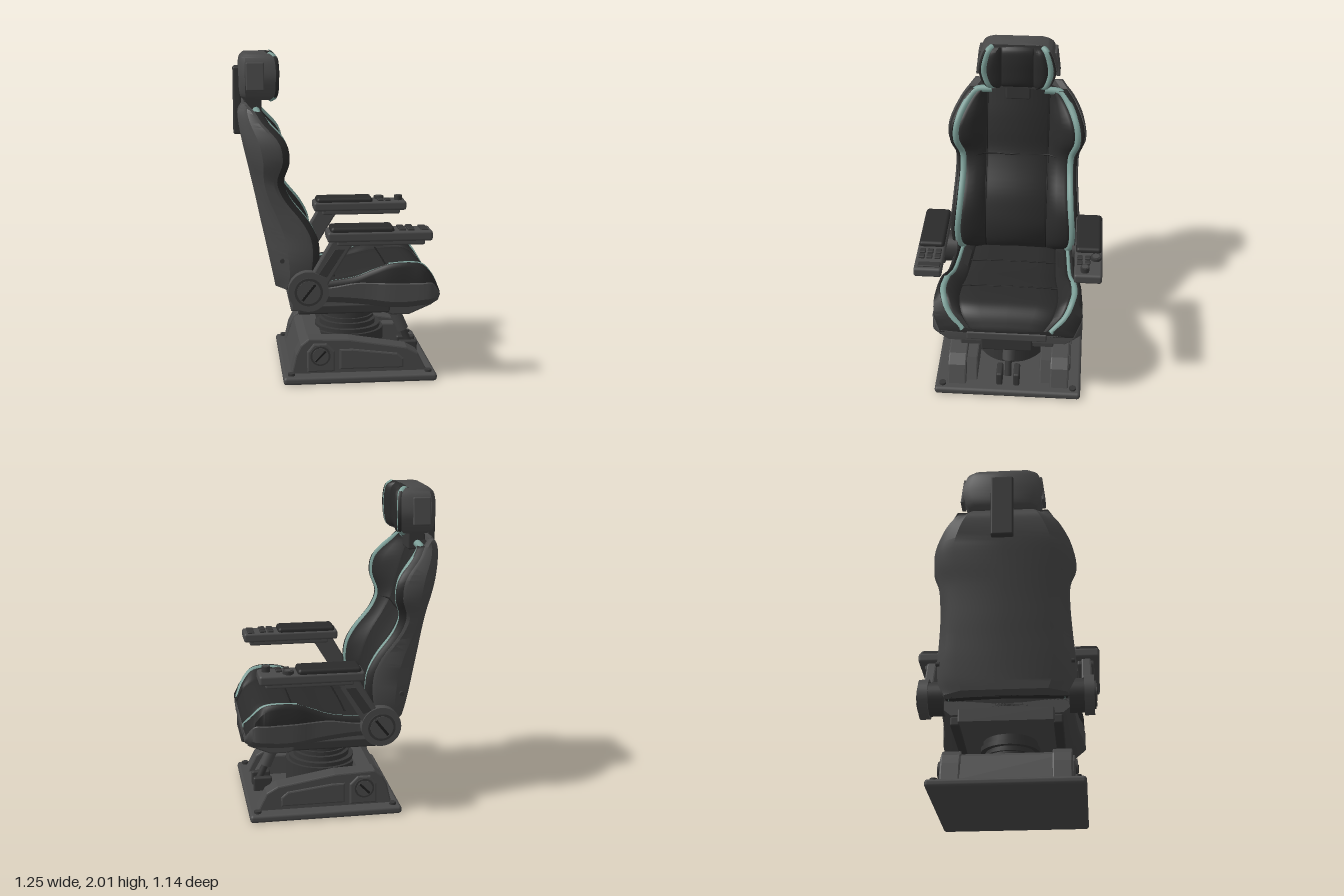
import * as THREE from 'three';
import { toCreasedNormals } from 'three/addons/utils/BufferGeometryUtils.js';
import { RoundedBoxGeometry } from 'three/addons/geometries/RoundedBoxGeometry.js';

const paint = (name, color) => Object.assign(new THREE.MeshStandardMaterial({ color }), { name });
const V = (x, y, z) => new THREE.Vector3(x, y, z);

export function createModel() {
  const group = new THREE.Group();
  const shell = paint('grey shell', 0x494949);
  const fabric = paint('dark upholstery', 0x2a2a2a);
  const metal = paint('dark metal', 0x363636);
  const seam = paint('seam black', 0x1d1d1d);
  const trim = paint('teal trim', 0x7c9f98);

  const add = (name, geo, mat, x = 0, y = 0, z = 0) => {
    const m = new THREE.Mesh(geo, mat);
    m.name = name;
    m.position.set(x, y, z);
    group.add(m);
    return m;
  };
  const box = (name, mat, [x0, x1], [y0, y1], [z0, z1], r = 0.012) =>
    add(name, new RoundedBoxGeometry(x1 - x0, y1 - y0, z1 - z0, 2, r), mat, (x0 + x1) / 2, (y0 + y1) / 2, (z0 + z1) / 2);
  const disc = (name, mat, r, h, x, y, z, axis = 'y', sides = 32) => {
    const m = add(name, new THREE.CylinderGeometry(r, r, h, sides), mat, x, y, z);
    if (axis === 'z') m.rotation.x = Math.PI / 2;
    return m;
  };
  // Side profile in x and y, extruded from z0 to z1
  const slab = (name, mat, pts, z0, z1, b = 0.01) => {
    const s = new THREE.Shape(pts.map(p => new THREE.Vector2(...p)));
    const g = new THREE.ExtrudeGeometry(s, {
      depth: z1 - z0 - 2 * b, bevelEnabled: b > 0, bevelSize: b, bevelThickness: b, bevelOffset: -b, bevelSegments: 2,
    });
    return add(name, g, mat, 0, 0, z0 + b);
  };
  const tube = (name, mat, pts, r) =>
    add(name, new THREE.TubeGeometry(new THREE.CatmullRomCurve3(pts), 60, r, 10), mat);
  const mirrorZ = p => V(p.x, p.y, -p.z);
  const both = f => [1, -1].forEach(f);
  const span = (s, a, b) => (s > 0 ? [a, b] : [-b, -a]);

  // Skin over symmetric half sections, smooth along the rows and capped
  const loft = (name, mat, halves, crease = 0.7) => {
    const loops = halves.map(h => [...h, ...h.slice(1, -1).reverse().map(mirrorZ)]);
    const n = loops[0].length, steps = (loops.length - 1) * 4;
    const cols = loops[0].map((_, j) => new THREE.CatmullRomCurve3(loops.map(l => l[j])).getPoints(steps));
    const pos = [], idx = [];
    for (let i = 0; i <= steps; i++) cols.forEach(c => pos.push(...c[i].toArray()));
    for (let i = 0; i < steps; i++) for (let j = 0; j < n; j++) {
      const a = i * n + j, b = i * n + (j + 1) % n;
      idx.push(a, b, a + n, b, b + n, a + n);
    }
    [0, steps].forEach(i => {
      const c = cols.reduce((s, k) => s.add(k[i]), V(0, 0, 0)).divideScalar(n);
      const at = pos.push(...c.toArray()) / 3 - 1;
      for (let j = 0; j < n; j++) {
        const a = i * n + j, b = i * n + (j + 1) % n;
        idx.push(...(i ? [a, b, at] : [b, a, at]));
      }
    });
    // Turn the faces outward if the enclosed volume is negative
    const P = i => V(pos[3 * i], pos[3 * i + 1], pos[3 * i + 2]);
    let vol = 0;
    for (let i = 0; i < idx.length; i += 3) vol += P(idx[i]).dot(P(idx[i + 1]).cross(P(idx[i + 2])));
    if (vol < 0) idx.reverse();
    const g = new THREE.BufferGeometry();
    g.setAttribute('position', new THREE.Float32BufferAttribute(pos, 3));
    g.setIndex(idx);
    return add(name, toCreasedNormals(g, crease), mat);
  };

  // Base plate with corner bolts and side housings
  box('basePlate', shell, [-0.35, 0.6], [0, 0.05], [-0.47, 0.47], 0.02);
  [-0.3, 0.55].forEach(x => both(s => disc('plateBolt', metal, 0.022, 0.02, x, 0.055, s * 0.42, 'y', 12)));
  const housing = [[-0.3, 0.04], [-0.27, 0.17], [-0.24, 0.23], [-0.19, 0.27], [0.06, 0.26], [0.42, 0.2], [0.49, 0.16], [0.55, 0.04]];
  both(s => {
    slab('baseHousing', shell, housing, ...span(s, 0.27, 0.39));
    slab('housingFoot', shell, [[-0.27, 0.04], [-0.25, 0.18], [0.43, 0.18], [0.51, 0.04]], ...span(s, 0.2, 0.3));
    slab('hingePlate', shell, [[-0.2, 0.06], [-0.2, 0.19], [-0.16, 0.24], [-0.08, 0.24], [-0.03, 0.19], [-0.03, 0.06]], ...span(s, 0.38, 0.405));
    slab('sidePanel', shell, [[0, 0.07], [0, 0.2], [0.08, 0.2], [0.36, 0.165], [0.4, 0.13], [0.4, 0.07]], ...span(s, 0.38, 0.4));
    disc('hingeCap', metal, 0.062, 0.02, -0.12, 0.165, s * 0.405, 'z');
    disc('hingeFace', shell, 0.05, 0.02, -0.12, 0.165, s * 0.409, 'z');
    box('hingeSlot', seam, [-0.165, -0.075], [0.158, 0.172], span(s, 0.417, 0.422), 0.002).rotation.z = 0.8;
  });
  slab('rearHousing', shell, [[-0.3, 0.04], [-0.24, 0.22], [-0.19, 0.25], [-0.1, 0.25], [-0.08, 0.04]], -0.36, 0.36);

  // Bellows and damper under the seat
  [[0.23, 0.05, 0.24], [0.21, 0.24, 0.265], [0.18, 0.265, 0.295], [0.155, 0.295, 0.31], [0.17, 0.31, 0.325],
    [0.155, 0.325, 0.345], [0.185, 0.345, 0.375], [0.17, 0.375, 0.42]].forEach(([r, a, b]) =>
    disc('bellowsRing', metal, r, b - a, 0.09, (a + b) / 2, 0));
  const strut = (name, mat, r, a, b) => {
    const m = add(name, new THREE.CylinderGeometry(r, r, a.distanceTo(b), 20), mat);
    m.position.lerpVectors(a, b, 0.5);
    m.quaternion.setFromUnitVectors(V(0, 1, 0), b.clone().sub(a).normalize());
  };
  strut('damperRod', metal, 0.022, V(0.5, 0.1, 0), V(0.36, 0.42, 0));
  strut('damperBody', shell, 0.038, V(0.455, 0.2, 0), V(0.385, 0.36, 0));
  both(s => box('damperFoot', metal, [0.42, 0.54], [0.04, 0.14], span(s, 0.035, 0.075)));

  // Seat pan
  slab('seatPan', shell, [[-0.29, 0.5], [-0.29, 0.42], [0.25, 0.41], [0.34, 0.38], [0.45, 0.38], [0.59, 0.44], [0.6, 0.5]], -0.29, 0.29);
  both(s => box('sideRail', metal, [-0.25, 0.32], [0.41, 0.47], span(s, 0.28, 0.34)));
  box('frontBezel', metal, [0.54, 0.62], [0.42, 0.52], [-0.16, 0.16]);
  box('bezelLip', shell, [0.56, 0.622], [0.5, 0.56], [-0.25, 0.25]);

  // Seat rows: x, bottom, side height, centre height, half width, trim inset
  const seat = [
    [-0.22, 0.49, 0.62, 0.6, 0.4, 0], [-0.05, 0.49, 0.635, 0.62, 0.41, 0], [0.1, 0.48, 0.66, 0.64, 0.42, 0],
    [0.2, 0.47, 0.7, 0.66, 0.43, 0], [0.3, 0.46, 0.74, 0.675, 0.45, 0], [0.42, 0.46, 0.75, 0.685, 0.46, 0],
    [0.5, 0.47, 0.735, 0.68, 0.465, 0.02], [0.56, 0.475, 0.675, 0.645, 0.46, 0.05], [0.615, 0.49, 0.59, 0.57, 0.42, 0.1]];
  const rim = s => Math.min(s - 0.03, 0.63);
  loft('seatShell', shell, seat.map(([x, b, s, c, w]) => [
    V(x, c - 0.04, 0), V(x, c - 0.04, 0.6 * w), V(x, rim(s) - 0.01, w - 0.05), V(x, rim(s), w - 0.012),
    V(x, rim(s) - 0.012, w), V(x, b + 0.05, w), V(x, b, w - 0.06), V(x, b, 0)]));
  // Cushion with a groove for the trim inside its outer lip
  loft('seatCushion', fabric, seat.map(([x, b, s, c, w, e]) => {
    const v = w - e;
    return [
      V(x, c + 0.008, 0), V(x, c + 0.004, 0.4 * v), V(x, c - 0.002, 0.64 * v), V(x, c - 0.012, 0.67 * v),
      V(x, c + 0.006, 0.7 * v), V(x, s - 0.012, v - 0.085), V(x, s - 0.01, v - 0.072), V(x, s - 0.035, v - 0.05),
      V(x, s, v - 0.028), V(x, s - 0.006, v - 0.016), V(x, s - 0.03, w - 0.006), V(x, rim(s) - 0.03, w - 0.006),
      V(x, c - 0.06, 0.55 * w), V(x, c - 0.06, 0)];
  }), 1);
  both(k => {
    const run = (rows, drop) => rows.map(([x, , s, , w, e]) => V(x - e / 8, s - drop, k * (w - e - 0.05)));
    tube('seatRearTrim', trim, run(seat.slice(0, 5), 0.017), 0.012);
    tube('seatFrontTrim', trim, run(seat.slice(4), 0.019), 0.021);
  });
  [[-0.02, 0.632, 0.28], [0.31, 0.683, 0.3]].forEach(([x, y, z]) =>
    tube('seatSeam', seam, [V(x, y - 0.003, z), V(x, y, 0), V(x, y - 0.003, -z)], 0.005));

  // Backrest rows: y, rear x, wing x, half width, centre x
  const back = [
    [0.58, -0.385, -0.22, 0.38, -0.24], [0.66, -0.4, -0.15, 0.42, -0.2], [0.78, -0.425, -0.125, 0.43, -0.19],
    [0.9, -0.45, -0.135, 0.42, -0.22], [1, -0.472, -0.185, 0.41, -0.26], [1.15, -0.503, -0.3, 0.4, -0.35],
    [1.25, -0.525, -0.335, 0.405, -0.4], [1.37, -0.552, -0.303, 0.442, -0.43], [1.48, -0.577, -0.32, 0.435, -0.46],
    [1.6, -0.598, -0.42, 0.37, -0.5], [1.66, -0.598, -0.46, 0.32, -0.52], [1.7, -0.575, -0.5, 0.28, -0.53]];
  loft('backShell', shell, back.map(([y, r, f, w, c]) => [
    V(r, y, 0), V(r, y, 0.68 * w), V(r + 0.035, y, 0.84 * w), V(r + 0.38 * (f - r), y, 0.97 * w),
    V(f - 0.06, y, w), V(f - 0.04, y, w - 0.006), V(f - 0.045, y, w - 0.05), V(c - 0.04, y, 0.2), V(c - 0.04, y, 0)]), 0.5);
  const padded = back.slice(0, -1);
  loft('backCushion', fabric, padded.map(([y, , f, w, c]) => [
    V(c, y, 0), V(c - 0.002, y, 0.185), V(c - 0.015, y, 0.2), V(c + 0.006, y, 0.212),
    V(c + 0.65 * (f - c), y, 0.2 + 0.5 * (w - 0.28)), V(f - 0.01, y, w - 0.092), V(f - 0.012, y, w - 0.074),
    V(f - 0.035, y, w - 0.05), V(f + 0.002, y, w - 0.028), V(f - 0.006, y, w - 0.014), V(f - 0.055, y, w - 0.008),
    V(c - 0.05, y, 0.19), V(c - 0.05, y, 0)]), 1);
  both(k => {
    const run = padded.map(([y, , f, w]) => V(f - 0.023, Math.min(y, 1.645), k * (w - 0.051)));
    tube('backTrim', trim, [...run, V(-0.488, 1.655, k * 0.17)], 0.024);
    tube('backSeam', seam, padded.map(([y, , , , c]) => V(c - 0.013, y, k * 0.2)), 0.005);
    disc('shellBolt', metal, 0.014, 0.02, -0.35, 0.77, k * 0.408, 'z', 12);
  });
  tube('lumbarSeam', seam, [0.265, 0.2, 0, -0.2, -0.265].map(z =>
    V(Math.abs(z) > 0.2 ? -0.357 : -0.39, z ? 1.23 : 1.225, z)), 0.005);

  // Headrest on its neck and rear bracket; rows: y, half width, inset
  box('neck', metal, [-0.56, -0.45], [1.6, 1.76], [-0.08, 0.08]);
  box('rearBracket', metal, [-0.625, -0.575], [1.5, 1.915], [-0.07, 0.07]);
  const head = [[1.72, 0.185, 0.03], [1.745, 0.215, 0.008], [1.84, 0.25, 0], [1.92, 0.238, 0], [1.975, 0.215, 0.01], [2, 0.185, 0.035]];
  loft('headrestShell', shell, head.map(([y, w, i]) => [
    V(-0.59 + i, y, 0), V(-0.59 + i, y, 0.8 * w), V(-0.555 + i / 2, y, w), V(-0.42, y, w),
    V(-0.37 - i, y, 0.97 * w), V(-0.385 - i, y, 0.86 * w), V(-0.39 - i, y, 0)]));
  loft('headrestCushion', fabric, head.map(([y, w, i]) => [
    V(-0.37 - i, y, 0), V(-0.37 - i, y, 0.09), V(-0.38 - i, y, 0.1), V(-0.364 - i, y, 0.11),
    V(-0.345 - i, y, 0.62 * w), V(-0.35 - i, y, 0.74 * w), V(-0.385 - i, y, 0.83 * w), V(-0.35 - i, y, 0.93 * w),
    V(-0.362 - i, y, 0.965 * w), V(-0.43, y, 0.9 * w), V(-0.43, y, 0)]), 1);
  both(k => {
    tube('headrestTrim', trim, head.map(([y, w, i]) =>
      V(-0.373 - i, Math.min(Math.max(y, 1.728), 1.99), k * 0.835 * w)), 0.022);
    const plate = box('headrestPlate', shell, [-0.55, -0.44], [1.78, 1.95], span(k, 0.232, 0.256), 0.008);
    plate.rotation.x = -k * 0.12;
  });

  // Armrests: pivot, sloping arm, tray and pad
  both(s => {
    disc('pivotBarrel', metal, 0.105, 0.1, -0.2, 0.605, s * 0.43, 'z');
    disc('pivotRing', shell, 0.122, 0.06, -0.2, 0.605, s * 0.5, 'z');
    disc('pivotCap', metal, 0.085, 0.02, -0.2, 0.605, s * 0.53, 'z');
    disc('pivotFace', shell, 0.07, 0.02, -0.2, 0.605, s * 0.534, 'z');
    box('pivotSlot', seam, [-0.262, -0.138], [0.597, 0.613], span(s, 0.542, 0.547), 0.002).rotation.z = 0.9;
    slab('arm', shell, [[-0.27, 0.69], [-0.17, 0.72], [-0.06, 0.91], [0.09, 0.91], [0.05, 0.86], [-0.09, 0.63], [-0.14, 0.55]], ...span(s, 0.455, 0.517));
    slab('armInset', metal, [[-0.14, 0.71], [-0.04, 0.86], [0.02, 0.86], [-0.09, 0.69]], ...span(s, 0.514, 0.521), 0.002);
    box('armTray', shell, [-0.03, 0.5], [0.88, 0.93], span(s, 0.43, 0.535));
    box('armBoard', shell, [-0.09, 0.54], [0.91, 0.972], span(s, 0.4, 0.57), 0.016);
    box('armPad', fabric, [-0.07, 0.31], [0.95, 1], span(s, 0.407, 0.563), 0.02);
  });
  // Left controls: keypad and slot
  [0.36, 0.412].forEach(x => [0.435, 0.485, 0.532].forEach(z =>
    box('key', metal, [x - 0.02, x + 0.02], [0.96, 0.984], [z - 0.018, z + 0.018], 0.005)));
  box('display', metal, [0.47, 0.515], [0.96, 0.98], [0.41, 0.545], 0.005);
  // Right controls: dial, keys and knob
  [0.365, 0.415].forEach(x => [-0.48, -0.432].forEach(z =>
    box('key', metal, [x - 0.018, x + 0.018], [0.96, 0.984], [z - 0.016, z + 0.016], 0.005)));
  disc('dial', metal, 0.033, 0.03, 0.365, 0.975, -0.53);
  disc('dialCap', shell, 0.022, 0.03, 0.365, 0.98, -0.53);
  disc('knob', metal, 0.026, 0.04, 0.49, 0.985, -0.465);
  disc('knobCap', shell, 0.019, 0.04, 0.49, 0.988, -0.465);
  return group;
}
